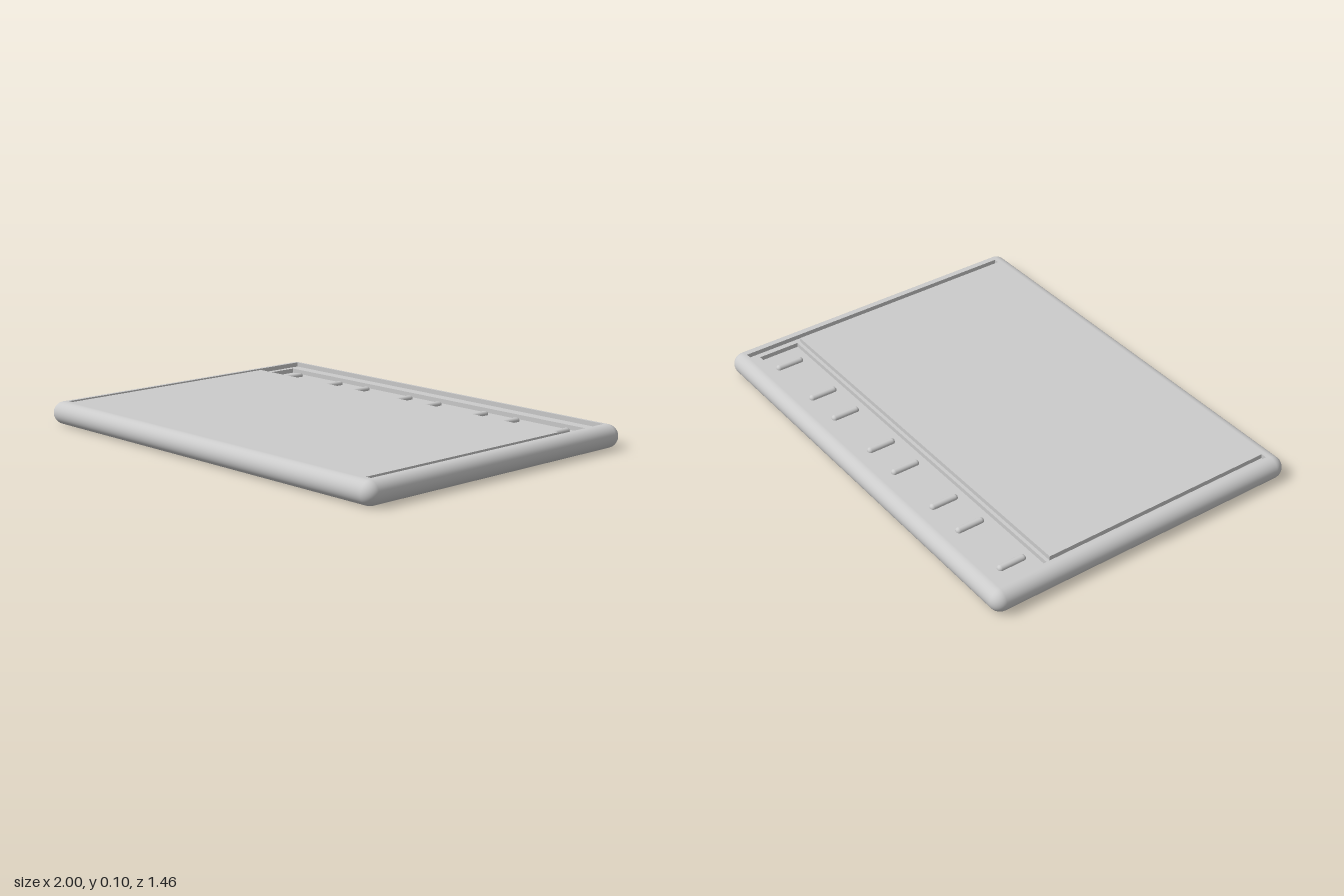
import * as THREE from 'three';
import { RoundedBoxGeometry } from 'three/addons/geometries/RoundedBoxGeometry.js';

const WIDTH = 2, DEPTH = 1.46, HEIGHT = 0.1, RADIUS = 0.05;
const LEDGE_Y = 0.08, FLOOR_Y = 0.06;
const material = new THREE.MeshStandardMaterial({ color: 0xcccccc });

function addMesh(group, name, geometry, x = 0, y = 0, z = 0) {
  const mesh = new THREE.Mesh(geometry, material);
  mesh.name = name;
  mesh.position.set(x, y, z);
  group.add(mesh);
  return mesh;
}

// Outline points are [x, z]; extrusion runs from y0 up to y1
const toPoints = (list) => list.map(([x, z]) => new THREE.Vector2(x, -z));
const rect = (x, z0, z1) => [[-x, z1], [x, z1], [x, z0], [-x, z0]];

function slab(outline, hole, y0, y1) {
  const shape = new THREE.Shape(toPoints(outline));
  shape.holes.push(new THREE.Path(toPoints(hole)));
  const geometry = new THREE.ExtrudeGeometry(shape, { depth: y1 - y0, bevelEnabled: false });
  return geometry.rotateX(-Math.PI / 2).translate(0, y0, 0);
}

// Fully rounded shell with its flat top removed
function openShell() {
  const source = new RoundedBoxGeometry(WIDTH, HEIGHT, DEPTH, 8, RADIUS);
  const rounded = source.index ? source.toNonIndexed() : source;
  const p = rounded.attributes.position, n = rounded.attributes.normal;
  const positions = [], normals = [];
  for (let i = 0; i < p.count; i += 3) {
    const corners = [i, i + 1, i + 2];
    if (corners.every((k) => p.getY(k) > HEIGHT / 2 - 1e-5)) continue;
    for (const k of corners) {
      positions.push(p.getX(k), p.getY(k), p.getZ(k));
      normals.push(n.getX(k), n.getY(k), n.getZ(k));
    }
  }
  const shell = new THREE.BufferGeometry();
  shell.setAttribute('position', new THREE.Float32BufferAttribute(positions, 3));
  shell.setAttribute('normal', new THREE.Float32BufferAttribute(normals, 3));
  return shell;
}

export function createModel() {
  const model = new THREE.Group();
  model.name = 'deskTray';

  addMesh(model, 'roundedShell', openShell(), 0, HEIGHT / 2, 0);

  // Top surface, cut by the back recess and the two narrow side channels
  const inner = rect(WIDTH / 2 - RADIUS, -DEPTH / 2 + RADIUS, DEPTH / 2 - RADIUS);
  const channel = [
    [-0.94, -0.675], [0.94, -0.675], [0.94, 0.665], [0.915, 0.665],
    [0.915, -0.42], [-0.915, -0.42], [-0.915, 0.665], [-0.94, 0.665],
  ];
  addMesh(model, 'topSurface', slab(inner, channel, LEDGE_Y, HEIGHT));

  // Lower ledge around the deeper pocket, and the pocket floor
  addMesh(model, 'recessLedge', slab(inner, rect(0.915, -0.625, -0.435), FLOOR_Y, LEDGE_Y));
  const floor = new THREE.PlaneGeometry(1.84, 0.2).rotateX(-Math.PI / 2);
  addMesh(model, 'pocketFloor', floor, 0, FLOOR_Y, -0.53);

  // Four pairs of support ribs in the pocket
  const ribs = new THREE.Group();
  ribs.name = 'supportRibs';
  const rib = new RoundedBoxGeometry(0.03, 0.034, 0.13, 4, 0.014);
  for (let i = 0; i < 4; i++) {
    for (const side of [-1, 1]) {
      const x = -0.687 + i * 0.455 + side * 0.138;
      addMesh(ribs, 'supportRib', rib, x, FLOOR_Y, -0.535);
    }
  }
  model.add(ribs);
  return model;
}
